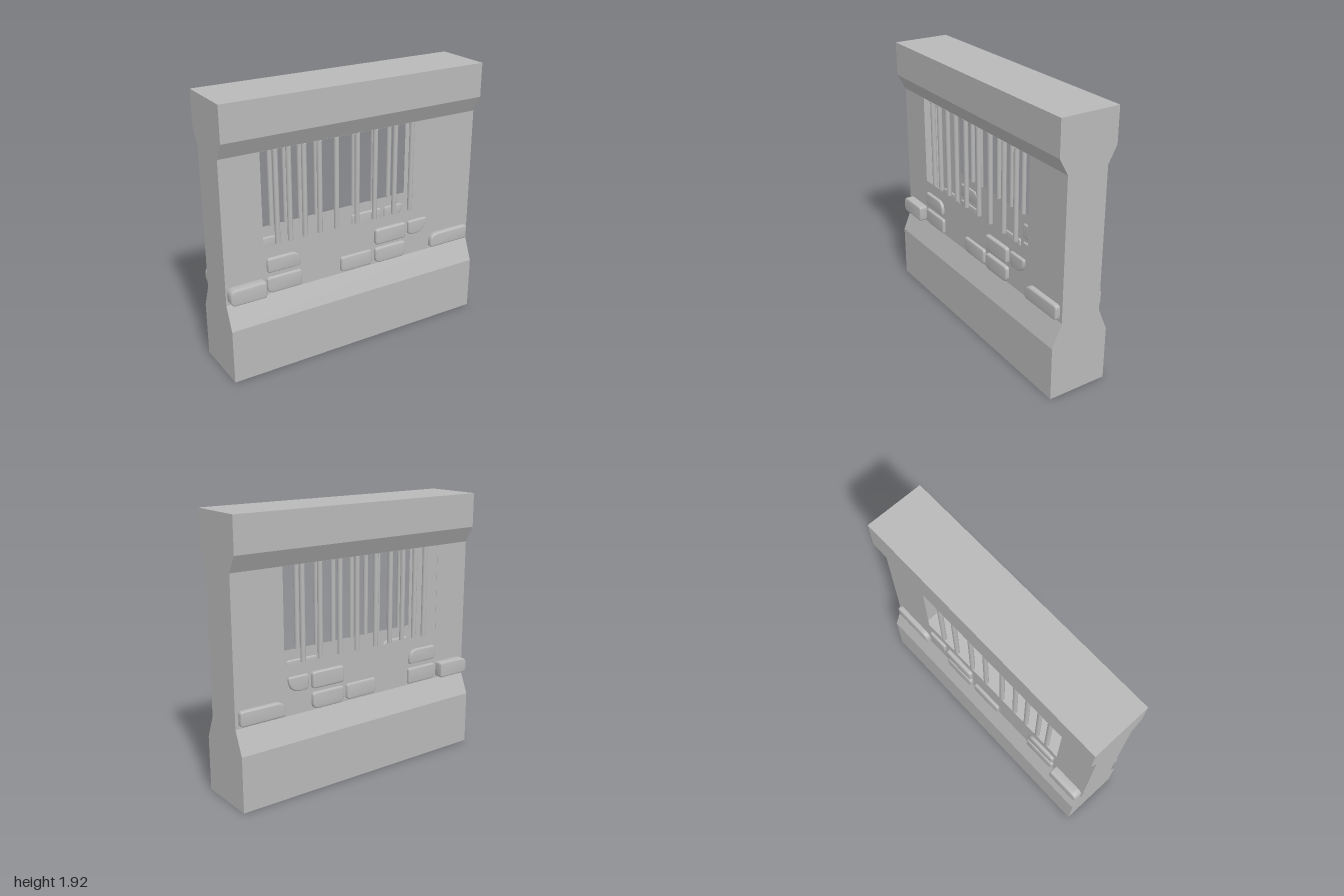
import * as THREE from 'three';
import { toCreasedNormals } from 'three/addons/utils/BufferGeometryUtils.js';

const stone = new THREE.MeshStandardMaterial({ color: 0xb8b8b8, side: THREE.DoubleSide });
stone.name = 'grey stone';

// Half profile of the wall, as [half depth, height]
const PROFILE = [[0.22, 0], [0.22, 0.39], [0.15, 0.555], [0.15, 1.565], [0.213, 1.68], [0.213, 1.925]];
const FACE_Z = 0.15;
const WINDOW = { x0: -0.715, x1: 0.62, y0: 0.905, y1: 1.564 };
const BAR_X = [-0.603, -0.508, -0.395, -0.28, -0.15, 0.015, 0.16, 0.325, 0.465];

// x0, x1, y0, y1, front z, corner radii: top left, top right, bottom right, bottom left
const BRICKS = [
  [-0.99, -0.728, 0.567, 0.682, 0.214, 0.05, 0.015, 0.02, 0.04],
  [-0.698, -0.453, 0.717, 0.822, 0.172, 0.02, 0.065, 0.015, 0.02],
  [-0.703, -0.445, 0.567, 0.682, 0.172, 0.02, 0.015, 0.015, 0.045],
  [-0.132, 0.122, 0.57, 0.682, 0.172, 0.015, 0.02, 0.025, 0.035],
  [0.153, 0.412, 0.712, 0.828, 0.178, 0.022, 0.022, 0.022, 0.022],
  [0.153, 0.412, 0.567, 0.682, 0.178, 0.022, 0.022, 0.045, 0.045],
  [0.44, 0.6, 0.717, 0.825, 0.17, 0.015, 0.012, 0.095, 0.035],
  [0.638, 0.976, 0.572, 0.677, 0.185, 0.065, 0.022, 0.022, 0.022],
];

function add(parent, name, geometry) {
  const mesh = new THREE.Mesh(geometry, stone);
  mesh.name = name;
  parent.add(mesh);
  return mesh;
}

// Flat band across the width, between two profile points on the front or back
function bandGeometry([za, ya], [zb, yb]) {
  const g = new THREE.BufferGeometry();
  g.setAttribute('position', new THREE.Float32BufferAttribute(
    [-1, ya, za, 1, ya, za, 1, yb, zb, -1, yb, zb], 3));
  g.setIndex([0, 1, 2, 0, 2, 3]);
  g.computeVertexNormals();
  return g;
}

function rectangle(Type, x0, x1, y0, y1) {
  return new Type([[x0, y0], [x1, y0], [x1, y1], [x0, y1]].map(([x, y]) => new THREE.Vector2(x, y)));
}

// Bevelled block with a different rounding at each corner
function brickGeometry([x0, x1, y0, y1, z, tl, tr, br, bl]) {
  const s = new THREE.Shape();
  s.moveTo(x0 + bl, y0);
  s.lineTo(x1 - br, y0);
  s.quadraticCurveTo(x1, y0, x1, y0 + br);
  s.lineTo(x1, y1 - tr);
  s.quadraticCurveTo(x1, y1, x1 - tr, y1);
  s.lineTo(x0 + tl, y1);
  s.quadraticCurveTo(x0, y1, x0, y1 - tl);
  s.lineTo(x0, y0 + bl);
  s.quadraticCurveTo(x0, y0, x0 + bl, y0);
  const bevel = 0.01, back = 0.138;
  const g = new THREE.ExtrudeGeometry(s, {
    depth: z - back - 2 * bevel, bevelThickness: bevel, bevelSize: bevel,
    bevelOffset: -bevel, bevelSegments: 3, curveSegments: 6,
  });
  g.translate(0, 0, back + bevel);
  return toCreasedNormals(g, 0.7);
}

// One face of the hollow wall, with its bars and raised bricks
function createSide(name) {
  const side = new THREE.Group();
  side.name = name;
  const bandNames = ['base', 'baseSlope', 'windowPanel', 'corniceSlope', 'cornice'];
  bandNames.forEach((band, i) => {
    if (band !== 'windowPanel') add(side, band, bandGeometry(PROFILE[i], PROFILE[i + 1]));
  });

  const panel = rectangle(THREE.Shape, -1, 1, PROFILE[2][1], PROFILE[3][1]);
  panel.holes.push(rectangle(THREE.Path, WINDOW.x0, WINDOW.x1, WINDOW.y0, WINDOW.y1));
  add(side, 'windowPanel', new THREE.ShapeGeometry(panel)).position.z = FACE_Z;

  const barHeight = WINDOW.y1 - WINDOW.y0;
  const bar = new THREE.CylinderGeometry(0.018, 0.018, barHeight, 12);
  for (const x of BAR_X) {
    add(side, 'windowBar', bar).position.set(x, WINDOW.y0 + barHeight / 2, 0.138);
  }
  for (const b of BRICKS) add(side, 'brick', brickGeometry(b));
  return side;
}

export function createModel() {
  const model = new THREE.Group();
  model.name = 'barredWall';
  model.add(createSide('frontSide'));

  // Back is the mirror image of the front
  const back = createSide('backSide');
  back.scale.z = -1;
  model.add(back);

  // End caps follow the wall profile
  const outline = [...PROFILE, ...PROFILE.map(([z, y]) => [-z, y]).reverse()];
  const cap = new THREE.ShapeGeometry(new THREE.Shape(outline.map(([z, y]) => new THREE.Vector2(z, y))));
  for (const s of [1, -1]) {
    const end = add(model, s > 0 ? 'leftEnd' : 'rightEnd', cap);
    end.position.x = s;
    end.rotation.y = s * Math.PI / 2;
  }

  // Top and underside
  const [topZ, topY] = PROFILE[5];
  const top = add(model, 'top', new THREE.PlaneGeometry(2, topZ * 2));
  top.rotation.x = -Math.PI / 2;
  top.position.y = topY;
  const underside = add(model, 'underside', new THREE.PlaneGeometry(2, PROFILE[0][0] * 2));
  underside.rotation.x = Math.PI / 2;
  return model;
}
